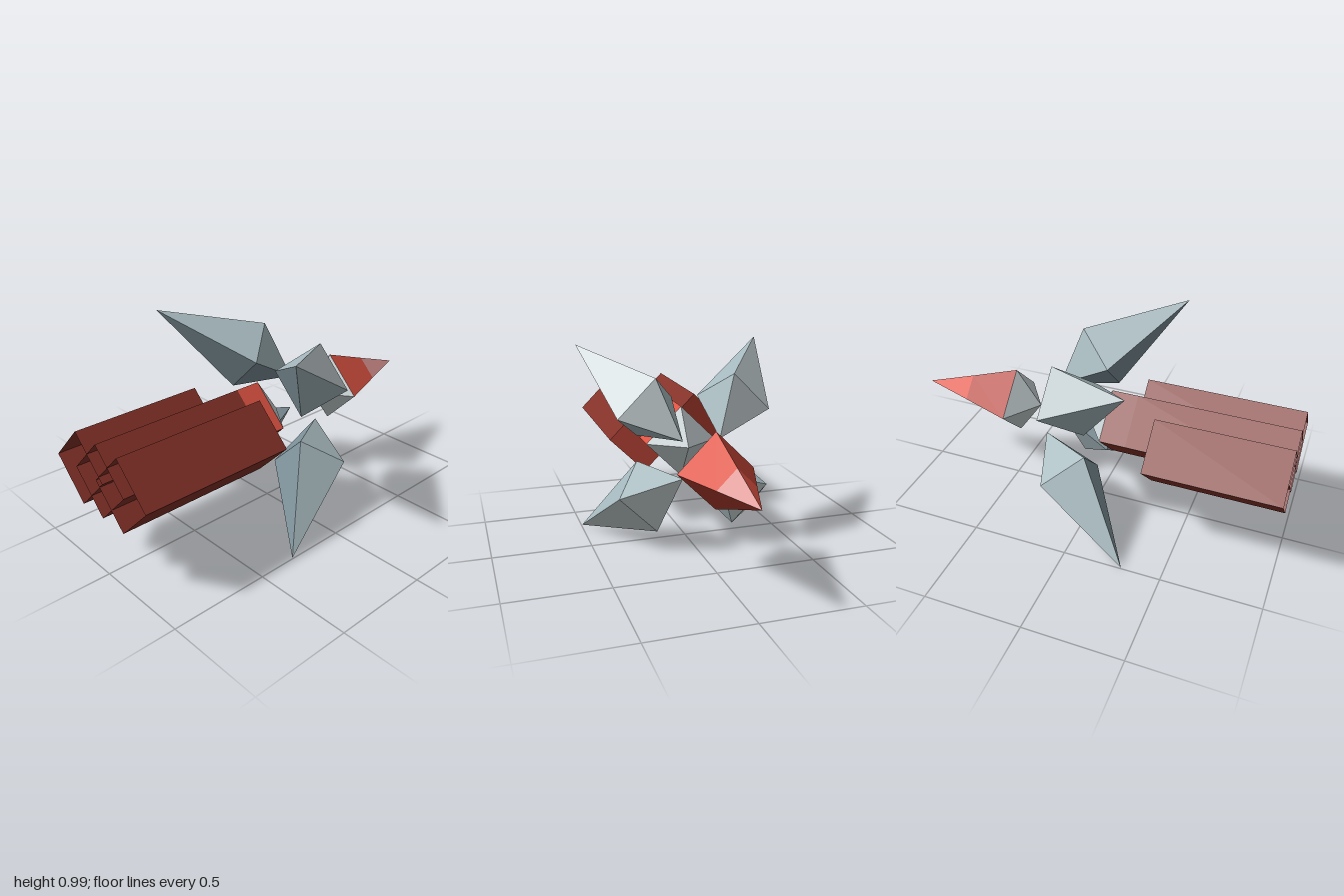
import * as THREE from 'three';

const mat = (name, color, side = THREE.FrontSide) => {
  const m = new THREE.MeshStandardMaterial({ color, side });
  m.name = name;
  return m;
};

export function createModel() {
  const bright = mat('brightRed', 0xdd5241);
  const mid = mat('midRed', 0xb43d30);
  const dark = mat('darkRed', 0x843128, THREE.DoubleSide);
  const pink = mat('pink', 0xdd9794);
  const light = mat('lightGrey', 0xc6d0d2);
  const blue = mat('blueGrey', 0xa5b8bd);
  const slate = mat('slateGrey', 0x7f929a);

  const model = new THREE.Group();
  model.name = 'spacecraft';
  const CY = 0.497; // height of the long axis
  const R = 0.187; // half diagonal of the square sections

  // Flat-shaded mesh from triangles, one material per triangle
  function facets(name, tris, mats, parent) {
    const geo = new THREE.BufferGeometry();
    geo.setAttribute('position', new THREE.Float32BufferAttribute(tris.flat(2), 3));
    geo.computeVertexNormals();
    mats.forEach((m, i) => geo.addGroup(i * 3, 3, i));
    const mesh = new THREE.Mesh(geo, mats);
    mesh.name = name;
    parent.add(mesh);
  }

  // Diamond section tapering along x; colours run upper front, lower front, lower back, upper back
  function taper(name, x0, r0, x1, r1, colours, parent, cz = 0) {
    const tris = [], mats = [];
    const corner = (x, r, k) => [
      x, CY + r * Math.cos(k * Math.PI / 2), cz + r * Math.sin(k * Math.PI / 2)];
    for (let k = 0; k < 4; k++) {
      const a0 = corner(x0, r0, k), a1 = corner(x0, r0, k + 1);
      const b0 = corner(x1, r1, k), b1 = corner(x1, r1, k + 1);
      if (r0 > 0) { tris.push([a0, a1, b1]); mats.push(colours[k]); }
      if (r1 > 0) { tris.push([a0, b1, b0]); mats.push(colours[k]); }
    }
    facets(name, tris, mats, parent);
  }
  const all = (m) => [m, m, m, m];

  // Nose: grey back cone, red body, paler tip
  const nose = new THREE.Group();
  nose.name = 'nose';
  model.add(nose);
  taper('noseBack', 0.335, 0, 0.465, R, all(light), nose);
  taper('noseBody', 0.465, R, 0.73, R / 2, [bright, mid, bright, mid], nose);
  taper('noseTip', 0.73, R / 2, 1, 0, [pink, mid, pink, bright], nose);

  // Three overlapping barrels, open at the rear
  const tail = new THREE.Group();
  tail.name = 'tail';
  model.add(tail);
  taper('centreBarrel', -1, R, -0.2, R, all(dark), tail);
  taper('centreBarrelFront', -0.2, R, -0.065, R, [bright, dark, dark, dark], tail);
  taper('centreBarrelPoint', -0.065, R, 0.065, 0, all(light), tail);
  for (const [side, cz, end, cap] of [['front', 0.161, -0.2, bright], ['back', -0.161, -0.335, mid]]) {
    taper(side + 'Barrel', -1, R, end, R, all(dark), tail, cz);
    taper(side + 'BarrelCap', end, R, end, 0, all(cap), tail, cz);
  }

  // Four mirrored wings, each a stretched octahedron
  const wings = new THREE.Group();
  wings.name = 'wings';
  model.add(wings);
  for (const sy of [1, -1]) for (const sz of [1, -1]) {
    const v = (x, y, z) => [x, CY + sy * y, sz * z];
    const tip = v(-0.3, 0.495, 0.495), root = v(0.263, 0.094, 0.094);
    const ring = [v(0.17, 0.199, 0.388), v(0.17, 0.388, 0.199),
      v(-0.01, 0.253, 0.068), v(-0.01, 0.068, 0.253)];
    const colours = [light, blue, slate, blue];
    const tris = [], mats = [];
    ring.forEach((p, i) => {
      const q = ring[(i + 1) % 4];
      tris.push(sy * sz > 0 ? [tip, p, q] : [tip, q, p]);
      tris.push(sy * sz > 0 ? [root, q, p] : [root, p, q]);
      mats.push(colours[i], colours[i]);
    });
    facets((sy > 0 ? 'upper' : 'lower') + (sz > 0 ? 'Front' : 'Back') + 'Wing',
      orient(tris), mats, wings);
  }
  return model;
}

// Turn every triangle of a convex solid outward
function orient(tris) {
  const vec = (p) => new THREE.Vector3(...p);
  const centre = new THREE.Vector3();
  tris.flat().forEach((p) => centre.add(vec(p)));
  centre.divideScalar(tris.length * 3);
  return tris.map(([a, b, c]) => {
    const n = vec(b).sub(vec(a)).cross(vec(c).sub(vec(a)));
    return n.dot(vec(a).sub(centre)) < 0 ? [a, c, b] : [a, b, c];
  });
}
